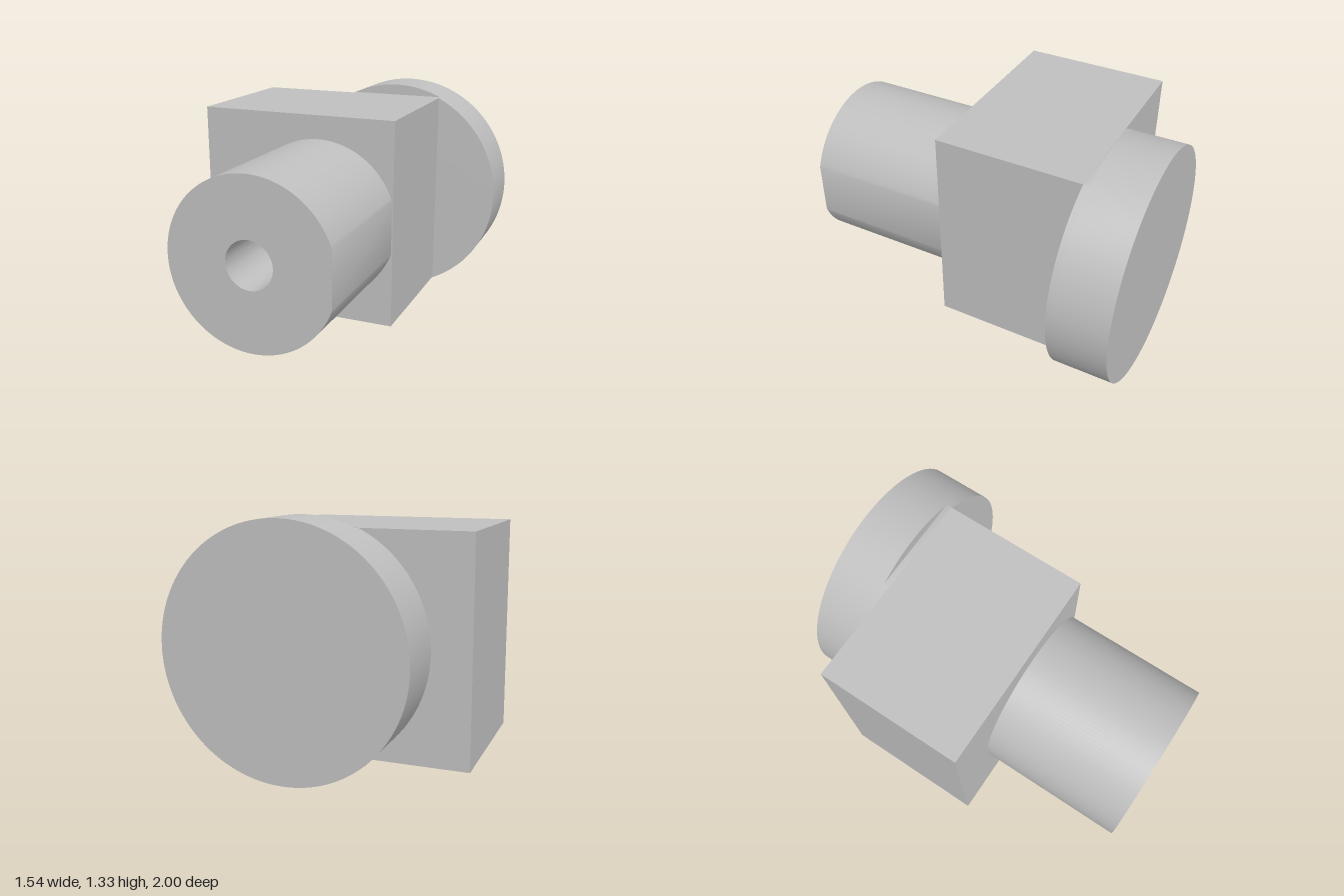
import * as THREE from 'three';
import { toCreasedNormals } from 'three/addons/utils/BufferGeometryUtils.js';

const AXIS_Y = 0.667;

// Extrude an outline from z0 to z1, smooth around curves and sharp at edges
function prism(name, shape, z0, z1, material) {
  const extruded = new THREE.ExtrudeGeometry(shape, {
    depth: z1 - z0, bevelEnabled: false, curveSegments: 64,
  });
  const mesh = new THREE.Mesh(toCreasedNormals(extruded, 0.5), material);
  mesh.name = name;
  mesh.position.set(0, AXIS_Y, z0);
  return mesh;
}

export function createModel() {
  const model = new THREE.Group();
  model.name = 'flangedBlock';
  const steel = new THREE.MeshStandardMaterial({ color: 0xbfbfbf });
  steel.name = 'steel grey';

  // Square block in the middle
  const block = new THREE.Mesh(new THREE.BoxGeometry(1.166, 1.2, 0.836), steel);
  block.name = 'block';
  block.position.set(-0.189, AXIS_Y + 0.003, -0.25);
  model.add(block);

  // Round flange at the back
  const fx = 0.105, fr = 0.666;
  const disc = new THREE.Shape().absarc(fx, 0, fr, 0, Math.PI * 2);
  model.add(prism('flange', disc, -1, -0.703, steel));

  // Thin neck joining flange and block, trimmed to the block's height
  const cut = Math.asin(0.602 / fr);
  const neck = new THREE.Shape();
  neck.absarc(fx, 0, fr, -cut, cut);
  neck.absarc(fx, 0, fr, Math.PI - cut, Math.PI + cut);
  neck.closePath();
  model.add(prism('flangeNeck', neck, -0.703, -0.668, steel));

  // Shaft with a flat on its left side and a central bore
  const sx = -0.054, sr = 0.467;
  const flat = Math.asin(0.155 / sr);
  const shaft = new THREE.Shape();
  shaft.absarc(sx, 0, sr, flat, Math.PI * 2 - flat);
  shaft.closePath();
  shaft.holes.push(new THREE.Path().absarc(sx, 0.006, 0.132, 0, Math.PI * 2, true));
  model.add(prism('shaft', shaft, 0.168, 1, steel));

  return model;
}
